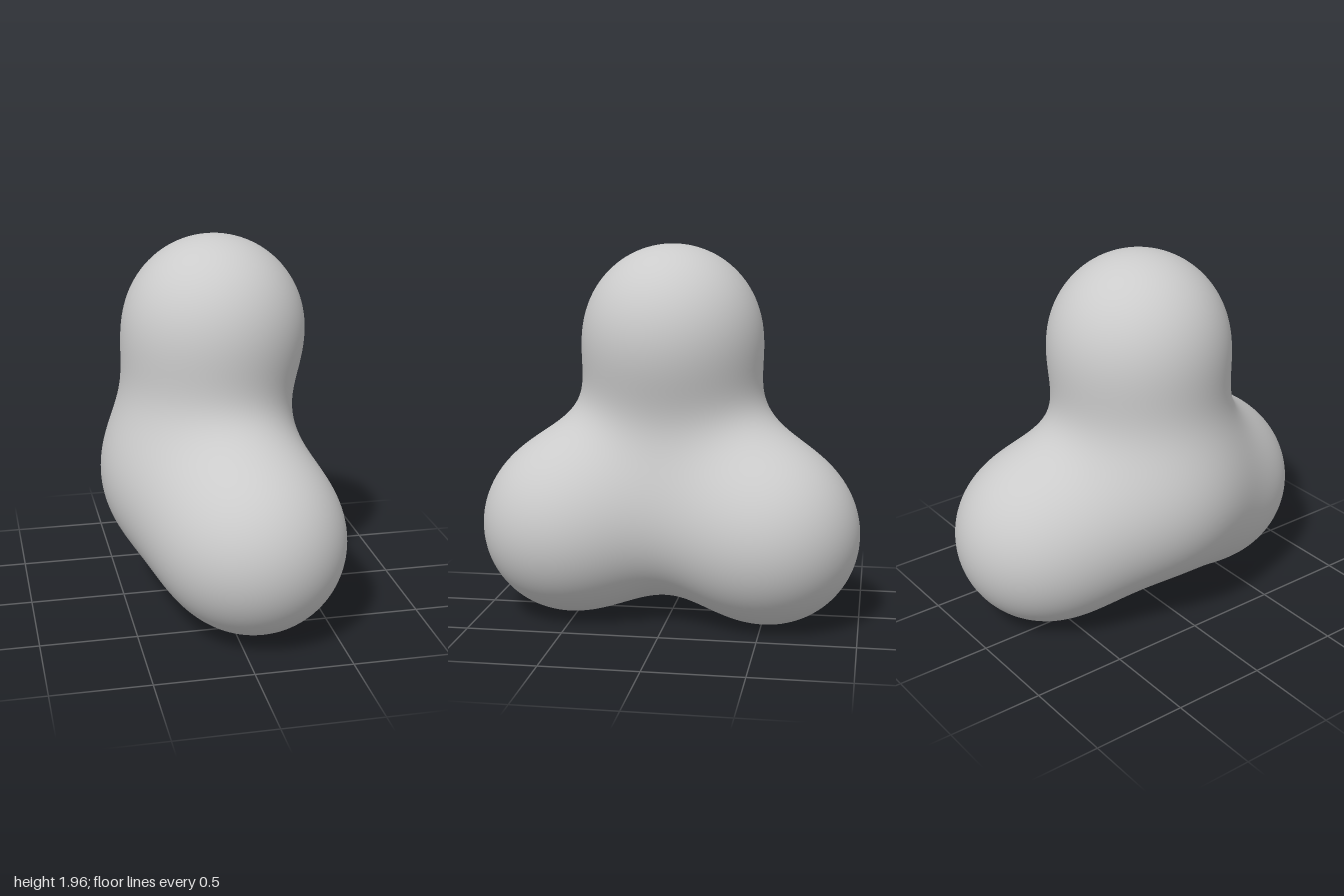
import * as THREE from 'three';
import { mergeVertices } from 'three/addons/utils/BufferGeometryUtils.js';

// Four soft lobes: a core and three round ends that melt into it
const lobes = [
  { c: new THREE.Vector3(-0.13, 0.72, 0), r: 0.455 },
  { c: new THREE.Vector3(0, 1.495, 0), r: 0.468 },
  { c: new THREE.Vector3(0.1, 0.488, 0.53), r: 0.468 },
  { c: new THREE.Vector3(0.135, 0.472, -0.53), r: 0.468 },
];
const SHARPNESS = 1.15;

const weight = (p, { c, r }) => Math.exp(SHARPNESS * (1 - p.distanceToSquared(c) / (r * r)));
const field = (p) => lobes.reduce((sum, lobe) => sum + weight(p, lobe), 0);

// Outward normal: the lobe directions weighted by their pull
function fieldNormal(p) {
  const n = new THREE.Vector3();
  for (const lobe of lobes) {
    n.addScaledVector(p.clone().sub(lobe.c), weight(p, lobe) / (lobe.r * lobe.r));
  }
  return n.normalize();
}

// Push every vertex of a fine ball out to the blended surface
function blendedGeometry() {
  let geometry = new THREE.IcosahedronGeometry(1, 44);
  geometry.deleteAttribute('normal');
  geometry.deleteAttribute('uv');
  geometry = mergeVertices(geometry, 1e-5);
  const pos = geometry.attributes.position;
  const normals = new Float32Array(pos.count * 3);
  const origin = new THREE.Vector3(0.04, 0.78, 0);
  const dir = new THREE.Vector3();
  const p = new THREE.Vector3();
  for (let i = 0; i < pos.count; i++) {
    dir.fromBufferAttribute(pos, i).normalize();
    let inside = 0;
    let outside = 1.6;
    for (let k = 0; k < 24; k++) {
      const mid = (inside + outside) / 2;
      p.copy(origin).addScaledVector(dir, mid);
      if (field(p) > 1) inside = mid;
      else outside = mid;
    }
    pos.setXYZ(i, p.x, p.y, p.z);
    fieldNormal(p).toArray(normals, i * 3);
  }
  geometry.setAttribute('normal', new THREE.BufferAttribute(normals, 3));
  return geometry;
}

export function createModel() {
  const group = new THREE.Group();
  group.name = 'blob';
  const body = new THREE.Mesh(blendedGeometry(), new THREE.MeshStandardMaterial({ color: 0xcccccc }));
  body.name = 'blendedLobes';
  group.add(body);
  return group;
}
